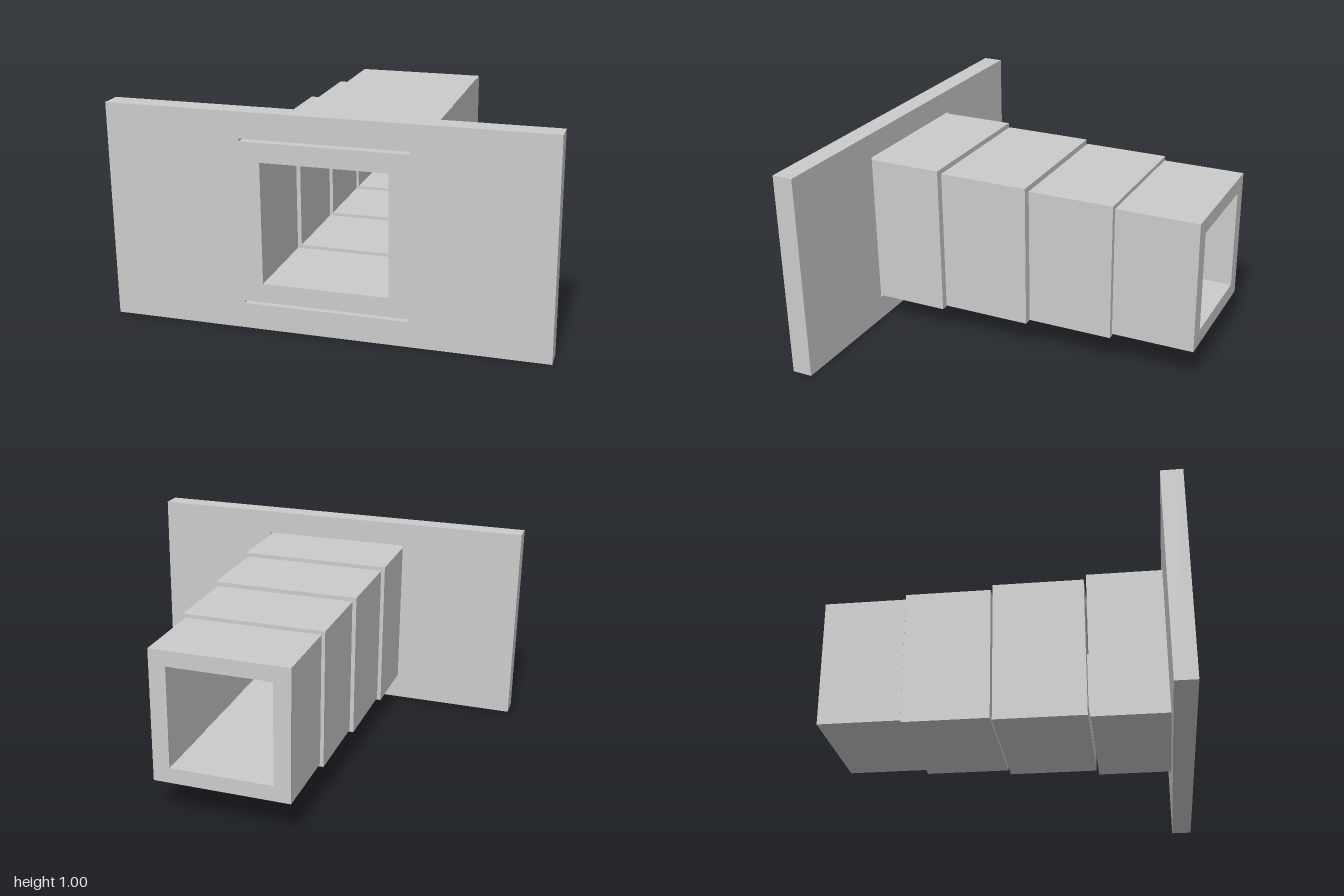
import * as THREE from 'three';

const CY = 0.5; // height of the duct axis

const rect = (Type, hw, hh, cy = CY) => {
  const s = new Type();
  s.moveTo(-hw, cy - hh);
  s.lineTo(hw, cy - hh);
  s.lineTo(hw, cy + hh);
  s.lineTo(-hw, cy + hh);
  s.closePath();
  return s;
};

export function createModel() {
  const group = new THREE.Group();
  const material = new THREE.MeshStandardMaterial({ color: 0xcccccc, flatShading: true });

  const addExtrusion = (name, shape, zBack, zFront) => {
    const geometry = new THREE.ExtrudeGeometry(shape, { depth: zFront - zBack, bevelEnabled: false });
    geometry.translate(0, 0, zBack);
    const mesh = new THREE.Mesh(geometry, material);
    mesh.name = name;
    group.add(mesh);
  };

  // Front plate: square opening plus a thin slot just above and below the duct
  const plate = rect(THREE.Shape, 1, 0.5);
  plate.holes.push(rect(THREE.Path, 0.287, 0.28));
  for (const side of [-1, 1]) {
    plate.holes.push(rect(THREE.Path, 0.377, 0.006, CY + side * 0.375));
  }
  addExtrusion('frontPlate', plate, 0.775, 0.875);

  // Telescoping square tubes, each a little smaller than the one before:
  // [outer half width, outer half height, inner half width, inner half height, back z, front z]
  const sections = [
    [0.377, 0.369, 0.287, 0.28, 0.412, 0.775],
    [0.361, 0.353, 0.272, 0.268, -0.04, 0.4],
    [0.345, 0.337, 0.26, 0.257, -0.47, -0.052],
    [0.329, 0.321, 0.248, 0.246, -0.875, -0.474],
  ];
  sections.forEach(([ow, oh, iw, ih, zBack, zFront], i) => {
    const tube = rect(THREE.Shape, ow, oh);
    tube.holes.push(rect(THREE.Path, iw, ih));
    addExtrusion(`ductSection${i + 1}`, tube, zBack, zFront);
  });

  return group;
}
